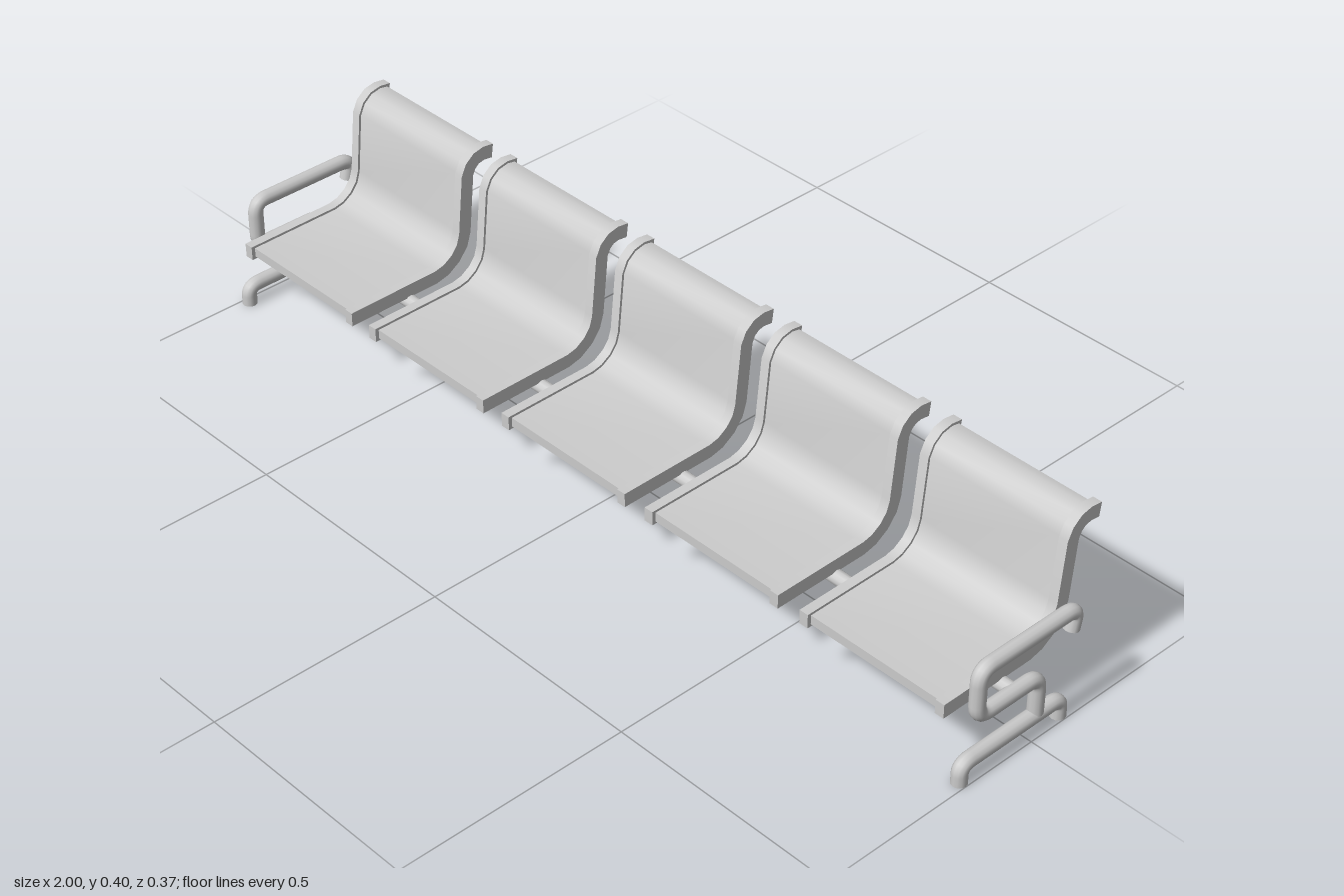
import * as THREE from 'three';
import { mergeGeometries, toCreasedNormals } from 'three/addons/utils/BufferGeometryUtils.js';

const material = new THREE.MeshStandardMaterial({ color: 0xcccccc });
const TUBE_R = 0.0155;

// Seat centreline from front edge to rolled top, as [z, y]
const SEAT = [
  [0.186, 0.152], [-0.03, 0.154], [-0.056, 0.16], [-0.081, 0.176], [-0.099, 0.199],
  [-0.107, 0.225], [-0.119, 0.353], [-0.128, 0.372], [-0.143, 0.384], [-0.162, 0.388], [-0.185, 0.385],
];

function mesh(name, geometry) {
  const m = new THREE.Mesh(geometry, material);
  m.name = name;
  return m;
}

// Band of constant thickness along the seat line, extruded across x
function band(line, thickness, width) {
  const pts = line.map(([z, y]) => new THREE.Vector2(z, y));
  const last = pts.length - 1;
  const offset = (d) => pts.map((p, i) => {
    const a = pts[i].clone().sub(pts[Math.max(i - 1, 0)]).normalize();
    const b = pts[Math.min(i + 1, last)].clone().sub(p).normalize();
    const t = a.clone().add(b).normalize();
    const miter = i === 0 || i === last ? 1 : 1 / t.dot(a);
    return new THREE.Vector2(p.x - t.y * d * miter, p.y + t.x * d * miter);
  });
  const shape = new THREE.Shape([...offset(thickness / 2), ...offset(-thickness / 2).reverse()]);
  const g = new THREE.ExtrudeGeometry(shape, { depth: width, bevelEnabled: false });
  g.translate(0, 0, -width / 2).rotateY(-Math.PI / 2);
  return toCreasedNormals(g, 0.6);
}

// Capped tube through [z, y] corners, each rounded by the bend radius
function bentTube(corners, bend, segments) {
  const pts = corners.map(([z, y]) => new THREE.Vector3(0, y, z));
  const path = new THREE.CurvePath();
  let from = pts[0];
  for (let i = 1; i < pts.length - 1; i++) {
    const p = pts[i];
    const toward = (q) => p.clone().add(
      q.clone().sub(p).setLength(Math.min(bend, p.distanceTo(q) * 0.48)));
    const start = toward(pts[i - 1]);
    const end = toward(pts[i + 1]);
    path.add(new THREE.LineCurve3(from, start));
    path.add(new THREE.QuadraticBezierCurve3(start, p, end));
    from = end;
  }
  path.add(new THREE.LineCurve3(from, pts[pts.length - 1]));

  const parts = [new THREE.TubeGeometry(path, segments, TUBE_R, 12)];
  for (const u of [0, 1]) {
    const out = path.getTangentAt(u).multiplyScalar(u ? 1 : -1);
    const cap = new THREE.CircleGeometry(TUBE_R, 12);
    cap.applyQuaternion(new THREE.Quaternion().setFromUnitVectors(new THREE.Vector3(0, 0, 1), out));
    const p = path.getPointAt(u);
    parts.push(cap.translate(p.x, p.y, p.z));
  }
  return mergeGeometries(parts);
}

export function createModel() {
  const model = new THREE.Group();
  model.name = 'benchSeating';

  // Five seats, each a curved panel between two side rails
  const panelLine = SEAT.map((p) => [...p]);
  panelLine[0][0] -= 0.008;
  panelLine[panelLine.length - 1][0] += 0.007;
  const panelGeometry = band(panelLine, 0.02, 0.304);
  const railGeometry = band(SEAT, 0.03, 0.02);
  for (let i = -2; i <= 2; i++) {
    const seat = new THREE.Group();
    seat.name = 'seat';
    seat.position.x = i * 0.393;
    seat.add(mesh('seatPanel', panelGeometry));
    for (const side of [-1, 1]) {
      const rail = mesh('seatRail', railGeometry);
      rail.position.x = side * 0.16;
      seat.add(rail);
    }
    model.add(seat);
  }

  // End frames: an arched foot, and one tube forming the post and armrest
  const footGeometry = bentTube([[0.167, 0], [0.167, 0.04], [-0.086, 0.04], [-0.086, 0]], 0.026, 72);
  const armGeometry = bentTube([
    [-0.022, 0.046], [-0.022, 0.128], [0.135, 0.128], [0.135, 0.23], [-0.109, 0.23], [-0.1, 0.188],
  ], 0.028, 128);
  for (const side of [-1, 1]) {
    const frame = new THREE.Group();
    frame.name = side > 0 ? 'leftEndFrame' : 'rightEndFrame';
    frame.position.x = side * (1 - TUBE_R);
    frame.add(mesh('foot', footGeometry), mesh('postAndArmrest', armGeometry));
    model.add(frame);
  }

  // Beam under all seats joining the end frames
  const beam = mesh('beam', new THREE.CylinderGeometry(0.015, 0.015, 1.968, 12).rotateZ(Math.PI / 2));
  beam.position.set(0, 0.127, 0.038);
  model.add(beam);

  return model;
}
